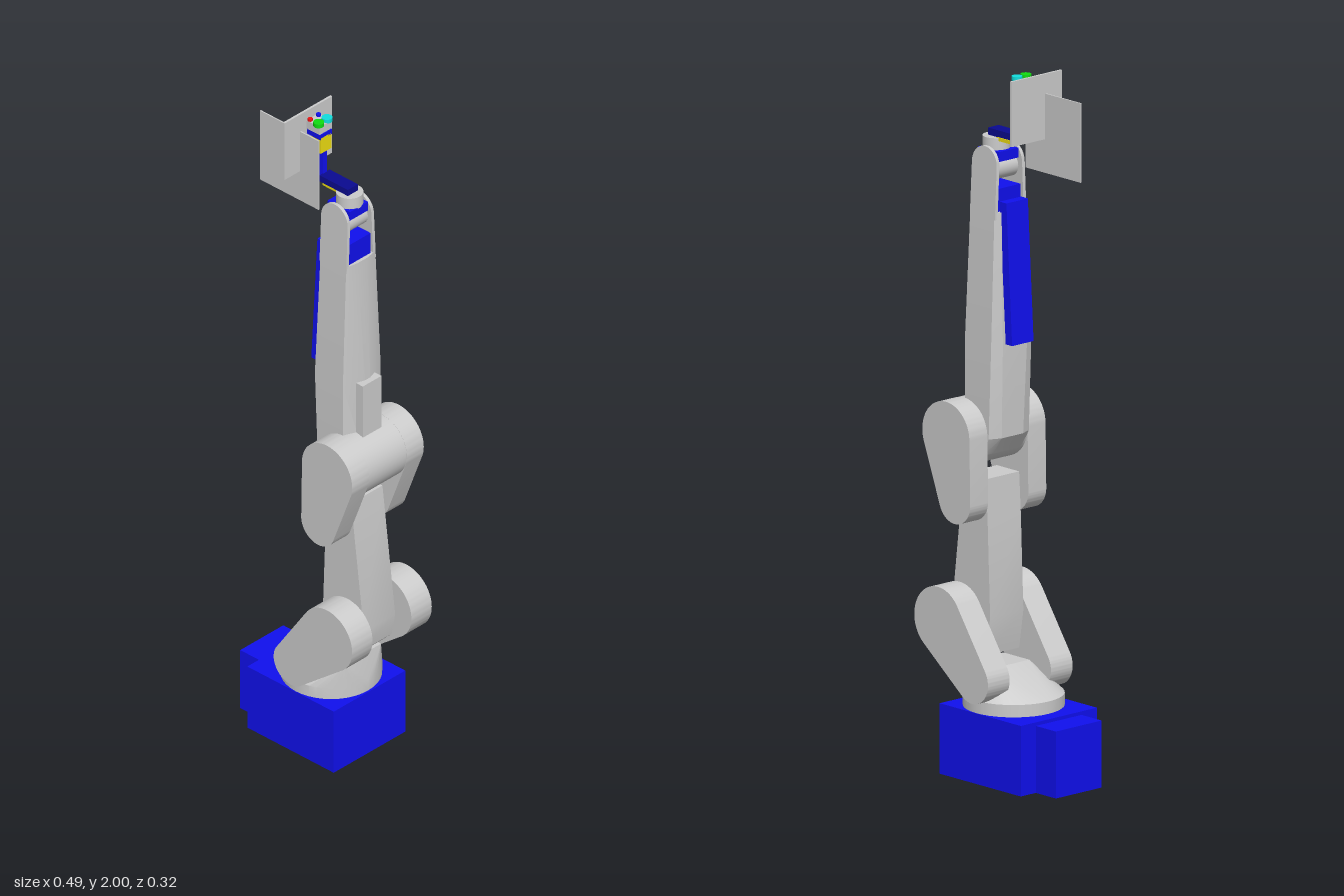
import * as THREE from 'three';
import { toCreasedNormals } from 'three/addons/utils/BufferGeometryUtils.js';
import { ConvexGeometry } from 'three/addons/geometries/ConvexGeometry.js';

const mat = (color) => new THREE.MeshStandardMaterial({ color });
const grey = mat(0xcccccc), blue = mat(0x1010ee), yellow = mat(0xeedd11), navy = mat(0x0a0a90);
const red = mat(0xee1111), green = mat(0x11dd11), cyan = mat(0x11dddd);

export function createModel() {
  const root = new THREE.Group();
  root.name = 'robotArm';

  const add = (name, geometry, material = grey) => {
    const mesh = new THREE.Mesh(geometry, material);
    mesh.name = name;
    root.add(mesh);
    return mesh;
  };
  // box given by its extents
  const box = (name, x0, x1, y0, y1, z0, z1, material) =>
    add(name, new THREE.BoxGeometry(x1 - x0, y1 - y0, z1 - z0)
      .translate((x0 + x1) / 2, (y0 + y1) / 2, (z0 + z1) / 2), material);
  // upright cylinder from y0 to y1
  const post = (name, x, z, r, y0, y1, material) =>
    add(name, new THREE.CylinderGeometry(r, r, y1 - y0, 32).translate(x, (y0 + y1) / 2, z), material);
  // cylinder lying along z
  const axle = (name, x, y, r, half, material) =>
    add(name, new THREE.CylinderGeometry(r, r, half * 2, 40).rotateX(Math.PI / 2).translate(x, y, 0), material);
  const hull = (name, points, material) =>
    add(name, toCreasedNormals(new ConvexGeometry(points), 0.35), material);
  const slab = (name, shape, z0, z1, material) =>
    add(name, toCreasedNormals(new THREE.ExtrudeGeometry(shape,
      { depth: z1 - z0, bevelEnabled: false, curveSegments: 24 }).translate(0, 0, z0), 0.5), material);
  const polygon = (pts) => new THREE.Shape(pts.map(([x, y]) => new THREE.Vector2(x, y)));

  // outline around a big and a small circle joined by tangents
  const paddle = (bx, by, R, sx, sy, r) => {
    const dir = Math.atan2(sy - by, sx - bx);
    const phi = Math.acos((R - r) / Math.hypot(sx - bx, sy - by));
    const shape = new THREE.Shape();
    shape.absarc(bx, by, R, dir + phi, dir - phi + Math.PI * 2, false);
    shape.absarc(sx, sy, r, dir - phi, dir + phi, false);
    shape.closePath();
    return shape;
  };

  // base
  box('base', -0.167, 0.16, 0, 0.2, -0.142, 0.142, blue);
  box('connectorBox', -0.248, -0.167, 0, 0.19, -0.086, 0.085, blue);

  // turret: round foot rising to a sloped saddle
  const ring = [];
  for (let i = 0; i < 40; i++) {
    const a = (i / 40) * Math.PI * 2;
    const x = 0.015 + 0.14 * Math.cos(a), z = 0.14 * Math.sin(a);
    ring.push(new THREE.Vector3(x, 0.2, z), new THREE.Vector3(x, 0.235, z));
  }
  for (const z of [-0.072, 0.072])
    for (const x of [0.03, 0.135]) ring.push(new THREE.Vector3(x, 0.31, z));
  hull('turret', ring);

  // shoulder and elbow side plates
  const shoulder = paddle(0.15, 0.44, 0.095, 0.012, 0.294, 0.064);
  const elbow = paddle(0.135, 0.965, 0.095, 0.1, 0.783, 0.063);
  for (const [side, s] of [['left', 1], ['right', -1]]) {
    const span = (a, b) => (s > 0 ? [a, b] : [-b, -a]);
    slab(side + 'ShoulderPlate', shoulder, ...span(0.077, 0.158));
    slab(side + 'ElbowPlate', elbow, ...span(0.075, 0.142));
  }
  axle('elbowDrum', 0.135, 0.965, 0.0945, 0.14);

  // lower arm
  slab('lowerArm', polygon([[0.06, 0.34], [0.155, 0.34], [0.185, 0.37], [0.198, 0.44],
    [0.15, 0.84], [0.06, 0.84], [0.053, 0.72], [0.043, 0.45]]), -0.062, 0.062);

  // upper arm: faceted sections [y, back x, shoulder x, front x, ridge x, back half z, half z, ridge half z]
  const sections = [
    [0.91, 0.055, 0.06, 0.13, 0.14, 0.04, 0.074, 0.01],
    [0.96, 0.02, 0.035, 0.13, 0.155, 0.04, 0.075, 0.01],
    [1.22, 0.01, 0.025, 0.131, 0.153, 0.045, 0.075, 0.01],
    [1.6, 0.021, 0.03, 0.127, 0.134, 0.04, 0.058, 0.02],
  ];
  const armPoints = [];
  for (const [y, xb, xs, xf, xr, zb, zs, zr] of sections)
    for (const s of [1, -1])
      for (const [x, z] of [[xb, zb], [xs, zs], [xf, zs], [xr, zr]])
        armPoints.push(new THREE.Vector3(x, y, z * s));
  hull('upperArm', armPoints);
  box('armRib', 0.12, 0.17, 1.0, 1.22, -0.037, 0.037);

  // fork tips leaning inwards, rounded on top
  const forkZ = (y) => 0.075 - (y - 1.22) * 0.0446;
  for (const [side, s] of [['left', 1], ['right', -1]]) {
    const outline = [[0.027, 1.58], [0.128, 1.58]];
    for (let i = 0; i <= 16; i++) {
      const a = (i / 16) * Math.PI;
      outline.push([0.077 + 0.05 * Math.cos(a), 1.73 + 0.05 * Math.sin(a)]);
    }
    hull(side + 'Fork', outline.flatMap(([x, y]) => [
      new THREE.Vector3(x, y, s * forkZ(y)),
      new THREE.Vector3(x, y, s * (forkZ(y) - 0.01))]));
  }

  // cover strip on the back of the upper arm
  slab('backCover', polygon([[-0.022, 1.23], [0.004, 1.23], [0.028, 1.63], [0.001, 1.63]]), -0.04, 0.04, blue);

  // wrist
  box('wristBlock', 0.033, 0.124, 1.59, 1.665, -0.042, 0.042, blue);
  axle('wristAxle', 0.078, 1.715, 0.035, 0.045);
  box('wristCarrier', 0.035, 0.12, 1.74, 1.768, -0.036, 0.036, blue);
  post('wristFlange', 0.083, -0.002, 0.038, 1.765, 1.802);

  // tool arm and mast
  box('toolBar', -0.01, 0.097, 1.803, 1.823, -0.02, 0.02, navy);
  box('toolBarStrip', 0, 0.06, 1.794, 1.804, -0.023, 0.018, yellow);
  box('mast', -0.028, -0.008, 1.81, 1.9, -0.008, 0.008, blue);
  box('gripperBody', -0.04, -0.005, 1.895, 1.945, -0.022, 0.02, yellow);
  box('gripperCollar', -0.055, -0.005, 1.94, 1.956, -0.024, 0.022, blue);
  box('gripperHead', -0.058, -0.008, 1.955, 1.982, -0.026, 0.022);
  post('cyanButton', -0.018, -0.018, 0.015, 1.98, 1.992, cyan);
  post('greenButton', -0.018, 0.015, 0.015, 1.98, 1.992, green);
  post('blueButton', -0.05, -0.018, 0.007, 1.975, 1.989, blue);
  post('redButton', -0.05, 0.015, 0.007, 1.975, 1.989, red);

  // thin crossed panels
  box('crossPanel', -0.078, -0.071, 1.815, 2, -0.094, 0.094);
  box('sidePanel', -0.222, 0, 1.72, 1.945, 0.03, 0.034);

  return root;
}
